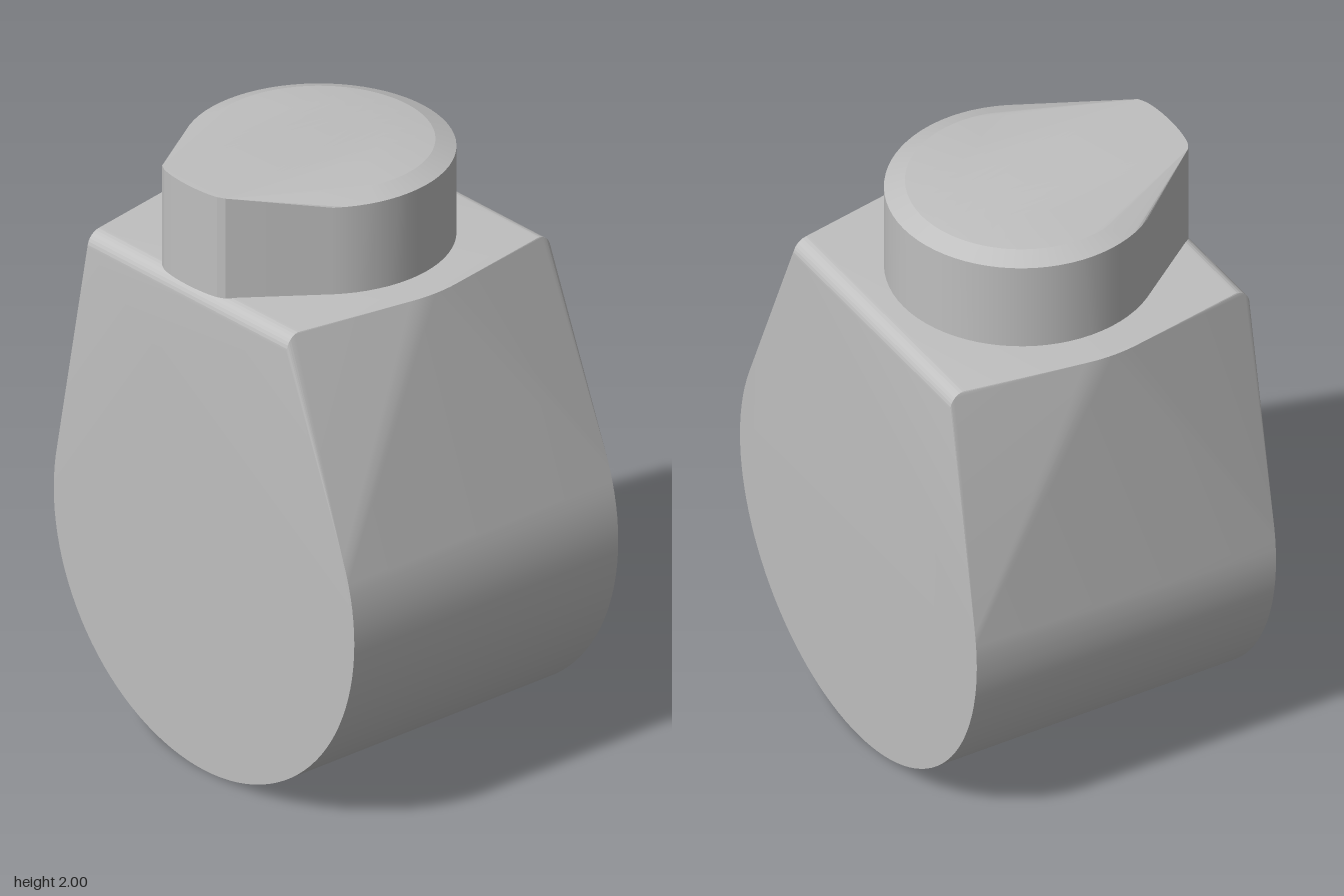
import * as THREE from 'three';
import { toCreasedNormals } from 'three/addons/utils/BufferGeometryUtils.js';
import { ConvexGeometry } from 'three/addons/geometries/ConvexGeometry.js';

const CENTRE_X = -0.08; // axis shared by the neck and the cap
const NECK_Y = 1.655;
const HALF_DEPTH = 0.54;

const point = (x, y, z) => new THREE.Vector3(x, y, z);

// Skin around a set of points, smooth over the fine curves only
function skin(name, points, material) {
  const mesh = new THREE.Mesh(toCreasedNormals(new ConvexGeometry(points), 0.12), material);
  mesh.name = name;
  return mesh;
}

// Ring of points lying flat, centred on the cap axis
function ring(radius, y, segments = 72) {
  const points = [];
  for (let i = 0; i < segments; i++) {
    const a = (i / segments) * Math.PI * 2;
    points.push(point(CENTRE_X + radius * Math.cos(a), y, radius * Math.sin(a)));
  }
  return points;
}

// Barrel lying along z, tapering up to a bowed, filleted neck
function bodyPoints() {
  const points = [];
  const r = 0.709;
  for (let i = 0; i < 112; i++) {
    const a = (i / 112) * Math.PI * 2;
    for (const z of [-HALF_DEPTH, HALF_DEPTH]) {
      points.push(point(r * Math.cos(a), r + r * Math.sin(a), z));
    }
  }
  for (const side of [-1, 1]) {
    // bowed side of the neck
    for (let i = -6; i <= 6; i++) {
      const a = (i / 6) * 0.18;
      points.push(point(CENTRE_X + side * (0.02 + 0.53 * Math.cos(a)), NECK_Y, 0.53 * Math.sin(a)));
    }
    // fillets along the front and back edges
    const f = 0.055;
    for (const end of [-1, 1]) {
      for (let i = 0; i <= 8; i++) {
        const a = (i / 8) * Math.PI / 2;
        points.push(point(
          CENTRE_X + side * 0.47,
          NECK_Y - f + f * Math.sin(a),
          end * (HALF_DEPTH - f + f * Math.cos(a)),
        ));
      }
    }
  }
  return points;
}

// Round cap drawn out to a blunt spout, with a shallow crown
function capPoints() {
  const points = [
    ...ring(0.425, NECK_Y - 0.002),
    ...ring(0.425, 1.955),
    ...ring(0.36, 1.98),
    ...ring(0.2, 1.997),
  ];
  for (let i = -6; i <= 6; i++) {
    const t = i / 6;
    const z = 0.54 - 0.018 * t * t - 0.01 * t ** 8;
    for (const y of [NECK_Y - 0.002, 2]) points.push(point(CENTRE_X + 0.15 * t, y, z));
  }
  return points;
}

export function createModel() {
  const grey = new THREE.MeshStandardMaterial({ color: 0xbfbfbf });
  grey.name = 'plain grey';

  const model = new THREE.Group();
  model.name = 'barrelWithSpoutedCap';
  model.add(skin('body', bodyPoints(), grey), skin('cap', capPoints(), grey));
  return model;
}
